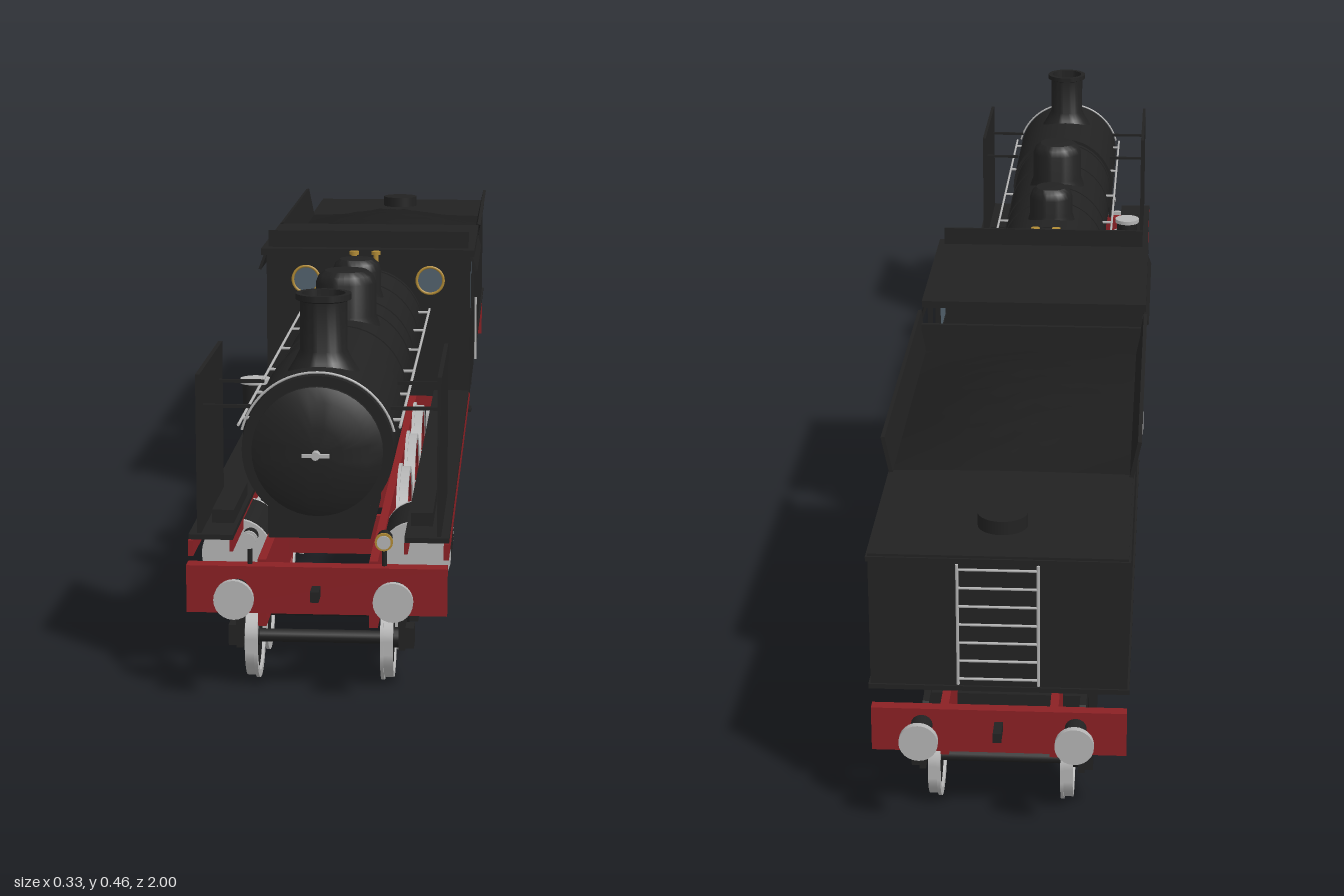
import * as THREE from 'three';
import { toCreasedNormals } from 'three/addons/utils/BufferGeometryUtils.js';

const paint = (name, color, side = THREE.FrontSide) => {
  const m = new THREE.MeshStandardMaterial({ color, side });
  m.name = name;
  return m;
};

export function createModel() {
  const model = new THREE.Group();
  model.name = 'steamLocomotive';
  const black = paint('black', 0x222222);
  const coalBlack = paint('coalBlack', 0x1c1c1c, THREE.DoubleSide);
  const red = paint('red', 0x8a2024);
  const steel = paint('steel', 0xb4b4b4);
  const brass = paint('brass', 0xb08a35);
  const glass = paint('glass', 0x52616c, THREE.DoubleSide);

  const group = (name, parent = model) => {
    const g = new THREE.Group();
    g.name = name;
    parent.add(g);
    return g;
  };
  const add = (parent, name, geo, mat, x = 0, y = 0, z = 0) => {
    const m = new THREE.Mesh(geo, mat);
    m.name = name;
    m.position.set(x, y, z);
    parent.add(m);
    return m;
  };
  const box = (parent, name, mat, w, h, d, x, y, z) =>
    add(parent, name, new THREE.BoxGeometry(w, h, d), mat, x, y, z);
  const cyl = (parent, name, mat, r, len, axis, x, y, z, seg = 24, r2 = r) => {
    const g = new THREE.CylinderGeometry(r2, r, len, seg);
    if (axis === 'x') g.rotateZ(-Math.PI / 2);
    if (axis === 'z') g.rotateX(Math.PI / 2);
    return add(parent, name, g, mat, x, y, z);
  };
  const lathe = (pts, seg = 32) => toCreasedNormals(
    new THREE.LatheGeometry(pts.map(p => new THREE.Vector2(...p)), seg), 0.6);
  // Flat ring around the x axis
  const ring = (parent, name, mat, inner, outer, width, x, y, z) => {
    const h = width / 2;
    const g = lathe([[outer, -h], [outer, h], [inner, h], [inner, -h], [outer, -h]], 36);
    return add(parent, name, g.rotateZ(-Math.PI / 2), mat, x, y, z);
  };
  // Bar between two (y, z) points at a given x
  const bar = (parent, name, x, y1, z1, y2, z2, h = 0.009, w = 0.006) => {
    const len = Math.hypot(y2 - y1, z2 - z1);
    const m = box(parent, name, steel, w, h, len, x, (y1 + y2) / 2, (z1 + z2) / 2);
    m.rotation.x = -Math.atan2(y2 - y1, z2 - z1);
  };
  const polygon = pts => new THREE.Shape(pts.map(p => new THREE.Vector2(...p)));
  const rect = (a, b, c, d) => polygon([[a, b], [c, b], [c, d], [a, d]]);
  // Side plate drawn in (z, y), centred on x = 0
  const sidePlate = (shape, depth) => new THREE.ExtrudeGeometry(shape, { depth, bevelEnabled: false })
    .translate(0, 0, -depth / 2).rotateY(-Math.PI / 2);

  // Boiler, smokebox and bands
  const boiler = group('boiler');
  const CY = 0.287;
  cyl(boiler, 'barrel', black, 0.083, 0.62, 'z', 0, CY, 0.395, 48);
  cyl(boiler, 'smokebox', black, 0.088, 0.23, 'z', 0, CY, 0.815, 48);
  for (const z of [0.09, 0.21, 0.35, 0.43, 0.57, 0.69])
    cyl(boiler, 'boilerBand', black, 0.0845, 0.01, 'z', 0, CY, z, 48);
  add(boiler, 'smokeboxDoor', lathe([[0.076, 0], [0.076, 0.006], [0.06, 0.013], [0.03, 0.018], [0, 0.019]], 40)
    .rotateX(Math.PI / 2), black, 0, CY, 0.93);
  cyl(boiler, 'doorBoss', steel, 0.005, 0.016, 'z', 0, CY, 0.952, 12);
  box(boiler, 'doorHandle', steel, 0.032, 0.004, 0.004, 0, CY, 0.957);
  box(boiler, 'smokeboxSaddle', black, 0.12, 0.04, 0.2, 0, 0.198, 0.81);
  add(boiler, 'chimney', lathe([[0.045, 0], [0.034, 0.018], [0.028, 0.03], [0.028, 0.088], [0.033, 0.09],
    [0.033, 0.097], [0.026, 0.097], [0.024, 0.04], [0, 0.04]]), black, 0, 0.36, 0.84);
  const dome = (name, r, top, z) => add(boiler, name, lathe([[r * 1.15, 0.355], [r, 0.372],
    [r, top - 0.016], [r * 0.9, top - 0.006], [r * 0.7, top], [0, top + 0.001]]), black, 0, 0, z);
  dome('steamDome', 0.04, 0.43, 0.485);
  dome('sandDome', 0.034, 0.415, 0.282);
  for (const x of [-0.016, 0.016]) {
    cyl(boiler, 'safetyValve', brass, 0.004, 0.035, 'y', x, 0.38, 0.11, 10);
    cyl(boiler, 'valveCap', brass, 0.007, 0.005, 'y', x, 0.398, 0.11, 10);
  }
  add(boiler, 'frontHandrail', new THREE.TorusGeometry(0.091, 0.0015, 6, 40, Math.PI * 0.84)
    .rotateZ(Math.PI * 0.08), steel, 0, CY, 0.925);

  // Frame, beam and footplates
  const chassis = group('chassis');
  box(chassis, 'bufferBeam', red, 0.302, 0.056, 0.02, 0, 0.127, 0.945);
  for (const z of [0.66, 0.42, 0.22, -0.11]) box(chassis, 'frameStretcher', red, 0.12, 0.05, 0.01, 0, 0.118, z);
  box(chassis, 'couplingHook', black, 0.01, 0.012, 0.03, 0, 0.127, 0.968);

  // Buffers at either end
  const buffer = (x, dir) => {
    const g = group('buffer');
    cyl(g, 'bufferSocket', black, 0.013, 0.03, 'z', x, 0.127, dir * 0.965, 16);
    cyl(g, 'bufferShank', steel, 0.009, 0.02, 'z', x, 0.127, dir * 0.982, 16);
    cyl(g, 'bufferHead', steel, 0.023, 0.008, 'z', x, 0.127, dir * 0.996, 24);
  };

  // Small carrying wheel with steel tyre
  const smallWheel = (parent, s, z) => {
    ring(parent, 'tyre', steel, 0.041, 0.047, 0.014, s * 0.08, 0.05, z);
    ring(parent, 'flange', steel, 0.041, 0.05, 0.004, s * 0.074, 0.05, z);
    cyl(parent, 'wheelDisc', black, 0.042, 0.009, 'x', s * 0.08, 0.05, z, 30);
    cyl(parent, 'hub', black, 0.012, 0.02, 'x', s * 0.084, 0.05, z, 14);
  };
  const bogie = (name, z1, z2) => {
    const g = group(name);
    const mid = (z1 + z2) / 2, half = Math.abs(z1 - z2) / 2;
    for (const s of [-1, 1]) {
      const arch = polygon([[-half - 0.02, 0.04], [-half + 0.02, 0.04], [-half + 0.03, 0.065], [half - 0.03, 0.065],
        [half - 0.02, 0.04], [half + 0.02, 0.04], [half + 0.02, 0.078], [half * 0.6, 0.105],
        [-half * 0.6, 0.105], [-half - 0.02, 0.078]]);
      add(g, 'bogieSideFrame', sidePlate(arch, 0.008), black, s * 0.096, 0, mid);
      for (const z of [z1, z2]) {
        smallWheel(g, s, z);
        box(g, 'axleBox', black, 0.018, 0.025, 0.026, s * 0.101, 0.053, z);
      }
    }
    for (const z of [z1, z2]) cyl(g, 'axle', black, 0.008, 0.16, 'x', 0, 0.05, z, 12);
    box(g, 'bogieBolster', black, 0.19, 0.02, 0.03, 0, 0.09, mid);
  };
  bogie('leadingBogie', 0.88, 0.77);
  bogie('frontTenderBogie', -0.37, -0.483);
  bogie('rearTenderBogie', -0.735, -0.888);

  // Spoked driving wheels
  const drivers = [0.52, 0.32, 0.123], WY = 0.088;
  const drivingWheel = (s, z) => {
    const g = group('drivingWheel');
    g.position.set(s * 0.08, WY, z);
    ring(g, 'tyre', steel, 0.077, 0.084, 0.014, 0, 0, 0);
    ring(g, 'flange', steel, 0.077, 0.088, 0.004, -s * 0.006, 0, 0);
    ring(g, 'rim', red, 0.07, 0.078, 0.011, 0, 0, 0);
    cyl(g, 'hub', red, 0.016, 0.016, 'x', 0, 0, 0, 18);
    for (let i = 0; i < 16; i++) {
      const a = i / 16 * Math.PI * 2;
      const spoke = box(g, 'spoke', red, 0.006, 0.06, 0.005, 0, Math.cos(a) * 0.042, Math.sin(a) * 0.042);
      spoke.rotation.x = a;
    }
    cyl(g, 'crankPin', steel, 0.008, 0.03, 'x', s * 0.018, 0.005, -0.025, 12);
  };
  for (const z of drivers) cyl(chassis, 'drivingAxle', black, 0.01, 0.16, 'x', 0, WY, z, 14);

  for (const s of [-1, 1]) {
    box(chassis, 'mainFrame', red, 0.01, 0.08, 1.055, s * 0.065, 0.118, 0.408);
    box(chassis, 'footplate', black, 0.052, 0.006, 0.865, s * 0.126, 0.181, 0.4925);
    box(chassis, 'valance', red, 0.006, 0.019, 0.97, s * 0.149, 0.1685, 0.445);
    box(chassis, 'footplateInnerEdge', red, 0.004, 0.014, 0.865, s * 0.102, 0.171, 0.4925);
    box(chassis, 'toolBox', black, 0.026, 0.018, 0.14, s * 0.118, 0.191, 0.8);
    box(chassis, 'smokeDeflector', black, 0.005, 0.192, 0.215, s * 0.14, 0.277, 0.812);
    for (const z of [0.74, 0.89]) box(chassis, 'deflectorStay', black, 0.06, 0.004, 0.004, s * 0.112, 0.33, z);
    buffer(s * 0.091, 1);
    buffer(s * 0.091, -1);
    // Headlamps
    cyl(chassis, 'lampBody', black, 0.009, 0.022, 'z', s * 0.078, 0.186, 0.942, 16);
    cyl(chassis, 'lampRim', s > 0 ? brass : steel, 0.0105, 0.004, 'z', s * 0.078, 0.186, 0.953, 20);
    cyl(chassis, 'lampLens', steel, 0.008, 0.002, 'z', s * 0.078, 0.186, 0.956, 20);
    cyl(chassis, 'lampPost', black, 0.003, 0.03, 'y', s * 0.078, 0.165, 0.942, 8);
    // Side handrail with its stanchions
    cyl(boiler, 'sideHandrail', steel, 0.0018, 0.82, 'z', s * 0.094, 0.312, 0.5, 8);
    for (let i = 0; i < 6; i++) cyl(boiler, 'handrailPost', steel, 0.002, 0.016, 'x', s * 0.086, 0.312, 0.12 + i * 0.15, 6);
    // Cylinder and running gear
    const gear = group('runningGear');
    cyl(gear, 'cylinder', black, 0.043, 0.1, 'z', s * 0.108, 0.132, 0.762, 32);
    for (const z of [0.815, 0.709]) cyl(gear, 'cylinderCover', steel, 0.043, 0.006, 'z', s * 0.108, 0.132, z, 32);
    for (const z of drivers) drivingWheel(s, z);
    const pins = drivers.map(z => z - 0.025), py = WY + 0.005;
    bar(gear, 'couplingRod', s * 0.099, py, pins[0] + 0.012, py, pins[2] - 0.012);
    bar(gear, 'connectingRod', s * 0.108, 0.125, 0.62, py, pins[1]);
    bar(gear, 'pistonRod', s * 0.108, 0.128, 0.71, 0.125, 0.61, 0.006);
    bar(gear, 'slideBar', s * 0.108, 0.145, 0.71, 0.145, 0.57, 0.006);
    bar(gear, 'valveRod', s * 0.116, 0.155, 0.71, 0.135, 0.47, 0.005);
    bar(gear, 'eccentricRod', s * 0.116, 0.13, 0.47, 0.1, 0.3, 0.005);
    box(gear, 'crosshead', steel, 0.012, 0.034, 0.022, s * 0.108, 0.132, 0.615);
    box(gear, 'expansionLink', steel, 0.006, 0.045, 0.01, s * 0.116, 0.14, 0.47);
  }

  // Air pump on the right footplate
  const pump = group('airPump');
  cyl(pump, 'pumpBody', black, 0.017, 0.1, 'y', -0.118, 0.232, 0.515);
  cyl(pump, 'pumpCap', steel, 0.02, 0.006, 'y', -0.118, 0.286, 0.515);

  // Cab
  const cab = group('cab');
  const side = rect(-0.2, 0.175, 0.04, 0.39);
  side.holes.push(rect(-0.07, 0.29, 0.025, 0.37), rect(-0.185, 0.287, -0.088, 0.38));
  const front = rect(-0.152, 0.172, 0.152, 0.39);
  for (const s of [-1, 1]) {
    add(cab, 'cabSide', sidePlate(side, 0.006), black, s * 0.15, 0, 0);
    box(cab, 'sideWindow', glass, 0.003, 0.08, 0.095, s * 0.15, 0.33, -0.0225);
    cyl(cab, 'cabHandrail', steel, 0.002, 0.1, 'y', s * 0.156, 0.235, -0.19, 6);
    front.holes.push(new THREE.Path().absarc(s * 0.093, 0.348, 0.019, 0, Math.PI * 2));
    cyl(cab, 'frontWindow', glass, 0.0195, 0.003, 'z', s * 0.093, 0.348, 0.044);
    add(cab, 'windowRing', new THREE.TorusGeometry(0.02, 0.002, 8, 32), brass, s * 0.093, 0.348, 0.047);
    const eave = box(cab, 'roofEave', black, 0.004, 0.028, 0.27, s * 0.157, 0.377, -0.08);
    eave.rotation.z = s * 0.35;
    for (const y of [0.145, 0.1]) box(cab, 'cabStep', black, 0.03, 0.004, 0.03, s * 0.135, y, -0.205);
  }
  add(cab, 'cabFront', new THREE.ExtrudeGeometry(front, { depth: 0.006, bevelEnabled: false, curveSegments: 24 }),
    black, 0, 0, 0.04);
  box(cab, 'cabFloor', black, 0.3, 0.008, 0.24, 0, 0.178, -0.08);
  box(cab, 'roof', black, 0.318, 0.01, 0.282, 0, 0.391, -0.081);
  box(cab, 'roofBoard', black, 0.3, 0.032, 0.004, 0, 0.405, 0.04);

  // Tender
  const tender = group('tender');
  box(tender, 'waterTank', black, 0.302, 0.175, 0.68, 0, 0.2585, -0.61);
  for (const y of [0.175, 0.34]) box(tender, 'tankBeading', black, 0.307, 0.006, 0.685, 0, y, -0.61);
  box(tender, 'coalBulkhead', black, 0.306, 0.04, 0.006, 0, 0.365, -0.285);
  cyl(tender, 'fillerHatch', black, 0.03, 0.018, 'y', 0, 0.354, -0.862, 28);
  const fence = sidePlate(polygon([[-0.715, 0], [-0.295, 0], [-0.25, 0.05], [-0.715, 0.05]]), 0.005);
  for (const s of [-1, 1]) {
    const f = add(tender, 'coalFence', fence, black, s * 0.149, 0.344, 0);
    f.rotation.z = -s * 0.2;
    box(tender, 'tenderFrame', red, 0.01, 0.064, 0.71, s * 0.065, 0.115, -0.592);
    cyl(tender, 'ladderRail', steel, 0.002, 0.155, 'y', s * 0.047, 0.26, -0.956, 6);
  }
  for (let i = 0; i < 7; i++) cyl(tender, 'ladderRung', steel, 0.0016, 0.094, 'x', 0, 0.19 + i * 0.0235, -0.956, 6);
  box(tender, 'rearBeam', red, 0.302, 0.056, 0.014, 0, 0.12, -0.948);
  box(tender, 'frontBeam', red, 0.27, 0.05, 0.012, 0, 0.118, -0.243);
  for (const z of [-0.43, -0.62, -0.81]) box(tender, 'tenderStretcher', red, 0.12, 0.045, 0.01, 0, 0.12, z);
  box(tender, 'tenderHook', black, 0.01, 0.012, 0.03, 0, 0.127, -0.968);

  // Lumpy coal load
  const coal = new THREE.PlaneGeometry(0.296, 0.42, 14, 20).rotateX(-Math.PI / 2);
  const p = coal.attributes.position;
  for (let i = 0; i < p.count; i++) {
    const x = p.getX(i), z = p.getZ(i);
    const mound = Math.max(0, Math.cos(x * 10.5) * Math.cos(z * 7.2));
    p.setY(i, 0.032 * mound + 0.003 * Math.sin(x * 97 + z * 31) * Math.cos(z * 83 - x * 41) * mound);
  }
  coal.computeVertexNormals();
  add(tender, 'coalLoad', coal, coalBlack, 0, 0.347, -0.5);

  return model;
}
